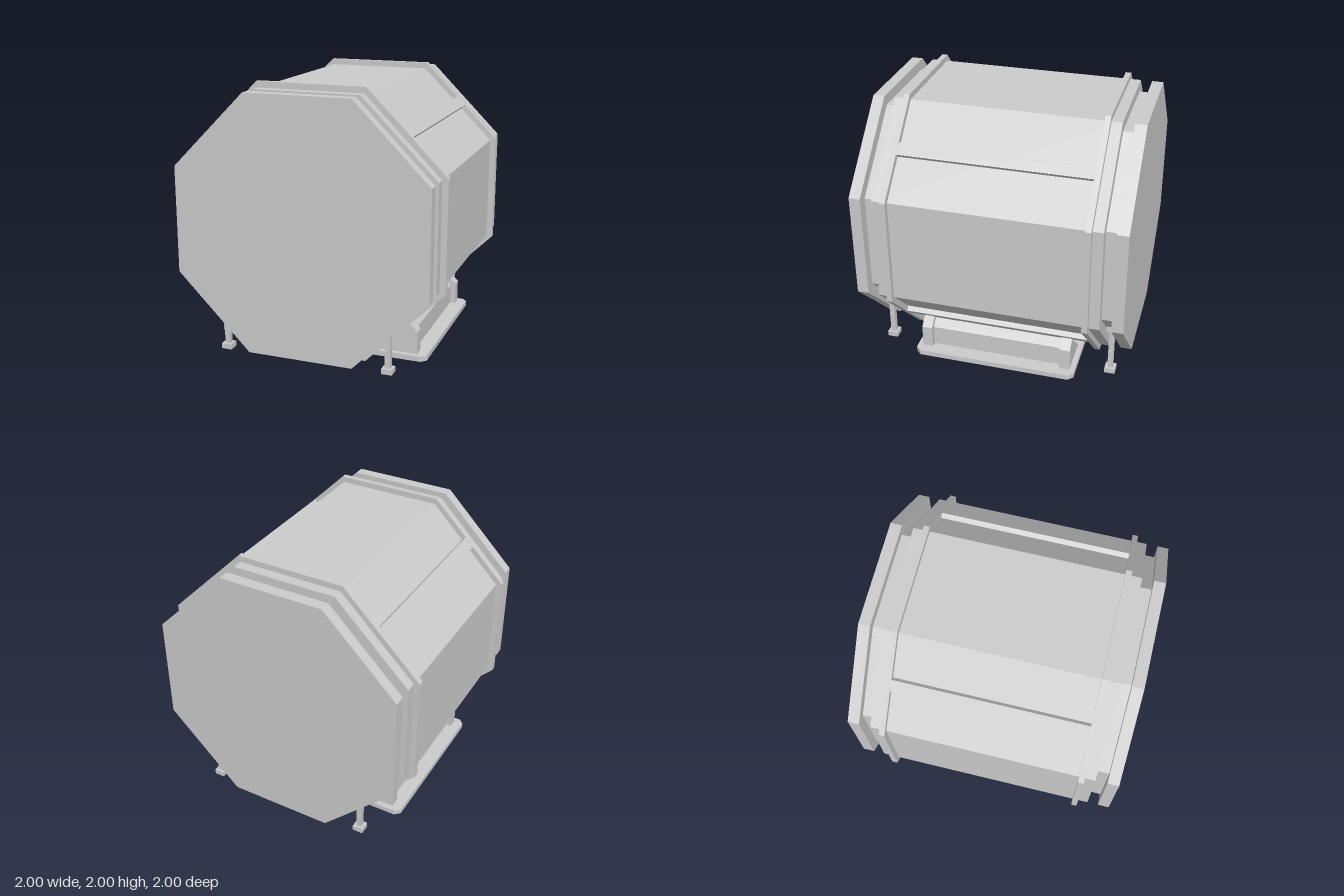
import * as THREE from 'three';

const material = new THREE.MeshStandardMaterial({ color: 0xcccccc, flatShading: true });

export function createModel() {
  const model = new THREE.Group();

  function add(name, geometry, x = 0, y = 0, z = 0) {
    const mesh = new THREE.Mesh(geometry, material);
    mesh.name = name;
    mesh.position.set(x, y, z);
    model.add(mesh);
    return mesh;
  }

  // Prism along z from an xy outline, centred on z = 0
  function prism(points, depth) {
    const shape = new THREE.Shape(points.map(([x, y]) => new THREE.Vector2(x, y)));
    return new THREE.ExtrudeGeometry(shape, { depth, bevelEnabled: false }).translate(0, 0, -depth / 2);
  }

  // Rectangle with cut corners: half sizes a, b and half length of the flat sides
  const cutRect = (a, b, fa, fb) => [
    [a, -fb], [a, fb], [fa, b], [-fa, b], [-a, fb], [-a, -fb], [-fa, -b], [fa, -b],
  ];
  const octagon = (half, flat, depth) => prism(cutRect(half, half, flat, flat), depth);

  // Main octagonal drum
  add('drum', octagon(0.955, 0.398, 1.66), 0, 1, 0);

  // Stepped ends and raised flanges
  for (const s of [1, -1]) {
    const end = s > 0 ? 'front' : 'back';
    add(end + 'Groove', octagon(0.875, 0.364, 0.1), 0, 1, s * 0.8725);
    add(end + 'Cap', octagon(0.955, 0.398, 0.085), 0, 1, s * 0.9575);
    add(end + 'Flange', octagon(1, 0.412, 0.042), 0, 1, s * 0.731);
  }

  // Ribs running between the flanges along the four sloping faces
  for (let i = 0; i < 4; i++) {
    const angle = Math.PI / 4 + (i * Math.PI) / 2;
    const r = 0.967;
    const rib = add('rib', new THREE.BoxGeometry(0.06, 0.092, 1.43),
      r * Math.cos(angle), 1 + r * Math.sin(angle), 0);
    rib.rotation.z = angle;
  }

  // Base plate with cut corners
  const plate = prism(cutRect(0.83, 0.625, 0.79, 0.585), 0.04).rotateX(-Math.PI / 2);
  add('basePlate', plate, 0, 0.02, 0);

  // Cradle: end saddles with slightly lower walls between them
  function cradle(side, x, shoulder, peakX, peakY, depth) {
    const outline = [[0.43, 0.03], [x, 0.03], [x, shoulder], [peakX, peakY]];
    const points = outline.map(([px, py]) => [side * px, py]);
    return prism(side > 0 ? points : points.reverse(), depth);
  }
  for (const side of [1, -1]) {
    add('cradleWall', cradle(side, 0.715, 0.195, 0.66, 0.25, 1.02));
    for (const s of [1, -1]) {
      add('cradleSaddle', cradle(side, 0.755, 0.21, 0.6875, 0.2775, 0.08), 0, 0, s * 0.545);
    }
  }

  // Corner legs: foot, post and upper bracket set into the groove
  for (const side of [1, -1]) {
    for (const s of [1, -1]) {
      const x = side * 0.63, z = s * 0.876;
      add('legFoot', new THREE.BoxGeometry(0.08, 0.04, 0.08), x, 0.02, z);
      add('legPost', new THREE.BoxGeometry(0.04, 0.36, 0.04), x, 0.21, z);
      add('legBracket', new THREE.BoxGeometry(0.08, 0.05, 0.08), x, 0.405, z);
    }
  }

  return model;
}
